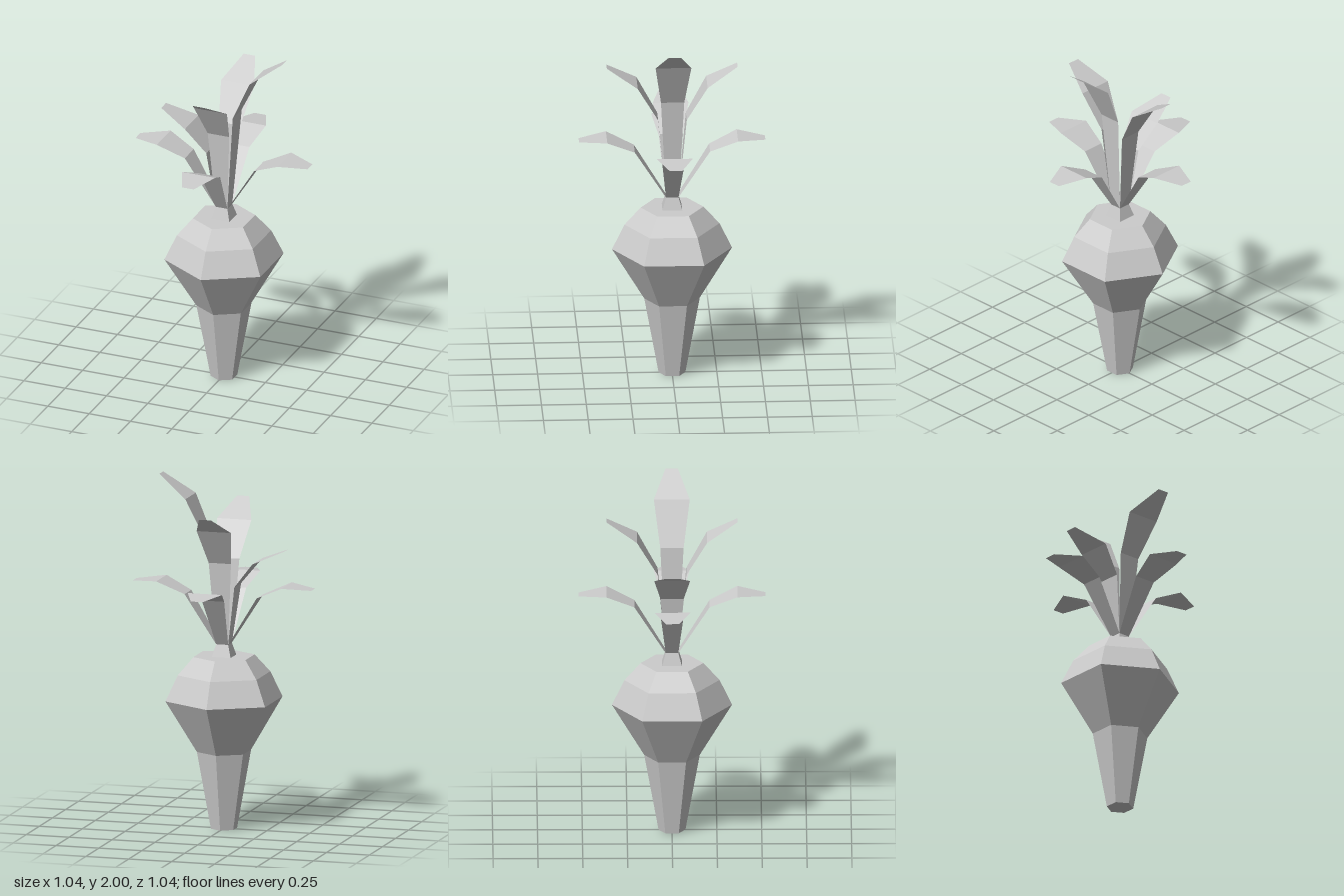
import * as THREE from 'three';

const bodyMat = new THREE.MeshStandardMaterial({ color: 0xcccccc, flatShading: true });
const leafMat = new THREE.MeshStandardMaterial({ color: 0xcccccc, flatShading: true, side: THREE.DoubleSide });

// Thin folded strip running outward along +z; rows are [distance, height, half width]
function leafGeometry(rows) {
  const pos = [], idx = [];
  rows.forEach(([d, y, w], i) => {
    pos.push(-w, y, d, w, y, d);
    if (i > 0) {
      const a = 2 * (i - 1);
      idx.push(a, a + 1, a + 3, a, a + 3, a + 2);
    }
  });
  const g = new THREE.BufferGeometry();
  g.setAttribute('position', new THREE.Float32BufferAttribute(pos, 3));
  g.setIndex(idx);
  g.computeVertexNormals();
  return g;
}

export function createModel() {
  const group = new THREE.Group();
  const add = (name, geometry, material) => {
    const mesh = new THREE.Mesh(geometry, material);
    mesh.name = name;
    group.add(mesh);
    return mesh;
  };

  // Six-sided root, bulging near the top
  const profile = [[0, 0], [0.075, 0], [0.155, 0.44], [0.335, 0.735], [0.265, 0.88], [0.175, 0.98], [0, 0.98]];
  add('root', new THREE.LatheGeometry(profile.map(([r, y]) => new THREE.Vector2(r, y)), 6), bodyMat);

  // Square tapered crown that the leaves grow from
  const crown = new THREE.CylinderGeometry(0.035 * Math.SQRT2, 0.055 * Math.SQRT2, 0.07, 4);
  crown.rotateY(Math.PI / 4).translate(0, 1.015, 0);
  add('crown', crown, bodyMat);

  // Four directions (+z, +x, -z, -x): an upright leaf of varying height and a drooping one
  const base = 1.05;
  [0.77, 0.95, 0.77, 0.55].forEach((h, i) => {
    const upright = add('uprightLeaf', leafGeometry([
      [0.035, base, 0.035],
      [0.08, base + 0.61 * h, 0.065],
      [0.195, base + 0.87 * h, 0.1],
      [0.365, base + h, 0.035],
    ]), leafMat);
    const drooping = add('droopingLeaf', leafGeometry([
      [0.035, base, 0.035],
      [0.21, 1.33, 0.065],
      [0.365, 1.4, 0.1],
      [0.52, 1.385, 0.035],
    ]), leafMat);
    upright.rotation.y = drooping.rotation.y = i * Math.PI / 2;
  });

  return group;
}
